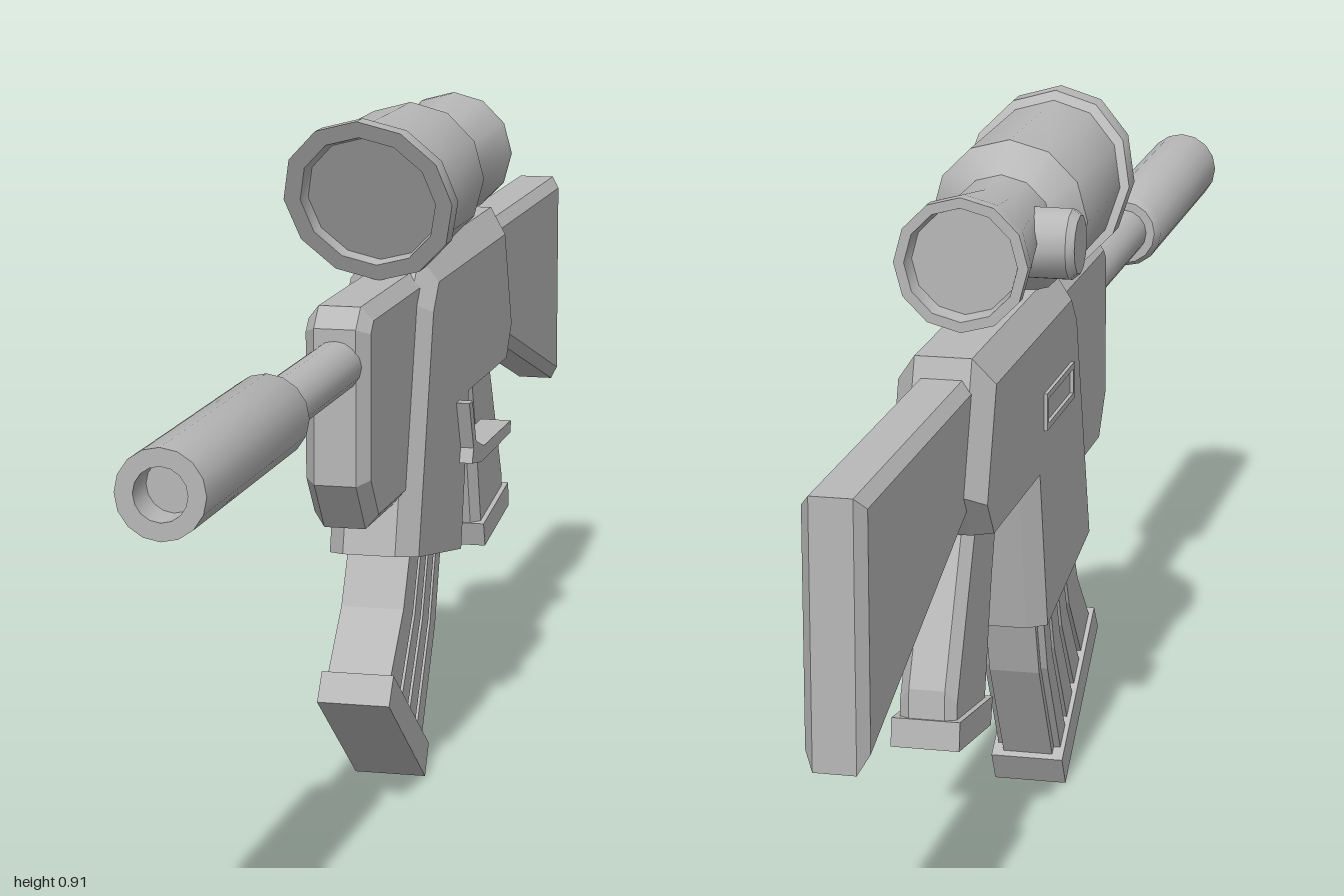
import * as THREE from 'three';
import { toCreasedNormals } from 'three/addons/utils/BufferGeometryUtils.js';

const grey = new THREE.MeshStandardMaterial({ color: 0xb8b8b8 });
grey.name = 'plain grey';

// Move every edge of a (z, y) outline inwards by its own distance
function insetOutline(pts, insets) {
  const n = pts.length;
  const normal = (i) => {
    const a = pts[i], b = pts[(i + 1) % n];
    const l = Math.hypot(b[0] - a[0], b[1] - a[1]);
    // outlines run clockwise in (-z, y), so inwards is on this side
    return [-(b[1] - a[1]) / l, (b[0] - a[0]) / l];
  };
  return pts.map((p, i) => {
    const j = (i + n - 1) % n, u = normal(j), v = normal(i);
    const a = insets[j], b = insets[i], det = u[0] * v[1] - u[1] * v[0];
    return [p[0] + (a * v[1] - b * u[1]) / det, p[1] + (u[0] * b - v[0] * a) / det];
  });
}

// Flat-sided slab: (z, y) outline across x, with its rim bevelled to both faces
function slab(outline, { edge, face, inset = 0, x = 0 }) {
  let pts = outline;
  const n = pts.length;
  let insets = Array.isArray(inset) ? inset : pts.map(() => inset);
  if (THREE.ShapeUtils.area(pts.map((p) => new THREE.Vector2(...p))) < 0) {
    pts = pts.slice().reverse();
    insets = insets.map((_, i) => insets[(2 * n - 2 - i) % n]);
  }
  const inner = insets.some((d) => d > 0) ? insetOutline(pts, insets) : pts;
  const rings = [[-face, inner], [-edge, pts], [edge, pts], [face, inner]];
  const pos = [], idx = [];
  for (const [w, ring] of rings) for (const [z, y] of ring) pos.push(x + w, y, z);
  for (let k = 0; k < 3; k++) {
    for (let i = 0; i < n; i++) {
      const j = (i + 1) % n, a = k * n + i, b = k * n + j;
      idx.push(a, a + n, b + n, a, b + n, b);
    }
  }
  const tris = THREE.ShapeUtils.triangulateShape(inner.map((p) => new THREE.Vector2(...p)), []);
  for (const [a, b, c] of tris) idx.push(a, b, c, 3 * n + a, 3 * n + c, 3 * n + b);
  const g = new THREE.BufferGeometry();
  g.setAttribute('position', new THREE.Float32BufferAttribute(pos, 3));
  g.setIndex(idx);
  const flat = g.toNonIndexed();
  flat.computeVertexNormals();
  return flat;
}

// Turned part along z from (radius, z) points, back to front
function turned(profile, sides, y) {
  const g = new THREE.LatheGeometry(profile.map((p) => new THREE.Vector2(...p)), sides);
  return g.rotateX(Math.PI / 2).translate(0, y, 0);
}
const crease = (g) => toCreasedNormals(g, 0.6);

export function createModel() {
  const model = new THREE.Group();
  const add = (name, geometry, parent = model) => {
    const mesh = new THREE.Mesh(geometry, grey);
    mesh.name = name;
    parent.add(mesh);
    return mesh;
  };

  // Body
  add('receiver', slab(
    [[-0.06, 0.705], [-0.505, 0.705], [-0.56, 0.55], [-0.515, 0.49], [-0.265, 0.49],
      [-0.22, 0.275], [0.075, 0.33], [-0.01, 0.65]],
    { edge: 0.035, face: 0.06, inset: [0.035, 0.03, 0.012, 0, 0.012, 0, 0.03, 0.03] }));
  add('handguard', slab(
    [[0.225, 0.685], [-0.05, 0.685], [0.03, 0.395], [0.2, 0.395], [0.25, 0.46], [0.25, 0.66]],
    { edge: 0.027, face: 0.042, inset: [0.018, 0, 0.018, 0.018, 0.018, 0.018] }));
  add('stock', slab(
    [[-0.5, 0.68], [-1, 0.68], [-1, 0.365], [-0.52, 0.52]],
    { edge: 0.025, face: 0.037, inset: [0.015, 0.015, 0.015, 0] }));

  // Grip with its flared foot
  add('grip', slab(
    [[-0.36, 0.5], [-0.505, 0.5], [-0.595, 0.32], [-0.6, 0.27], [-0.44, 0.25], [-0.415, 0.345]],
    { edge: 0.022, face: 0.035, inset: [0, 0.015, 0.01, 0, 0.01, 0.015] }));
  add('gripFoot', slab(
    [[-0.435, 0.26], [-0.602, 0.285], [-0.607, 0.25], [-0.445, 0.226]], { edge: 0.03, face: 0.042 }));

  // Curved magazine: a core with raised ribs running along it
  const front = [[0.0, 0.36], [0.055, 0.255], [0.138, 0.17]];
  const back = [[-0.175, 0.3], [-0.14, 0.185], [-0.06, 0.04]];
  const across = (row, u) => front[row].map((v, k) => v + (back[row][k] - v) * u);
  const strip = (u, v) => [0, 1, 2].map((r) => across(r, u)).concat([2, 1, 0].map((r) => across(r, v)));
  const magazine = new THREE.Group();
  magazine.name = 'magazine';
  model.add(magazine);
  add('magazineCore', slab(strip(0.02, 0.99), { edge: 0.028, face: 0.033 }), magazine);
  for (const [u, v] of [[0, 0.27], [0.33, 0.5], [0.56, 0.73], [0.79, 0.94]]) {
    add('magazineRib', slab(strip(u, v), { edge: 0.036, face: 0.042 }), magazine);
  }
  add('magazineBase', slab(
    [[0.135, 0.187], [-0.067, 0.04], [-0.045, 0], [0.16, 0.152]], { edge: 0.04, face: 0.048 }), magazine);

  // Trigger and the guard beside it
  add('trigger', slab([[-0.295, 0.5], [-0.325, 0.5], [-0.307, 0.42]], { edge: 0.01, face: 0.012 }));
  add('triggerGuard', slab(
    [[-0.175, 0.487], [-0.195, 0.487], [-0.22, 0.426], [-0.27, 0.41], [-0.447, 0.41],
      [-0.447, 0.393], [-0.255, 0.39], [-0.195, 0.4], [-0.203, 0.42]],
    { edge: 0.02, face: 0.023, x: 0.055 }));

  // Raised frame of the ejection port
  const rect = (h, w, C) => {
    const s = new C();
    s.moveTo(-w, -h); s.lineTo(w, -h); s.lineTo(w, h); s.lineTo(-w, h); s.closePath();
    return s;
  };
  const frame = rect(0.024, 0.08, THREE.Shape);
  frame.holes.push(rect(0.016, 0.072, THREE.Path));
  add('ejectionPortFrame', new THREE.ExtrudeGeometry(frame, { depth: 0.005, bevelEnabled: false })
    .rotateY(-Math.PI / 2).translate(-0.0595, 0.565, -0.15));

  // Barrel and its thick sleeve
  add('barrel', crease(turned([[0.033, 0.22], [0.033, 0.58]], 16, 0.612)));
  add('barrelSleeve', crease(turned(
    [[0, 0.555], [0.045, 0.555], [0.052, 0.57], [0.052, 1], [0.031, 1], [0.031, 0.95], [0, 0.95]], 16, 0.612)));

  // Scope, its front sheared so the rim leans forward at the top
  const scope = turned(
    [[0, -0.395], [0.066, -0.395], [0.07, -0.418], [0.083, -0.418], [0.083, -0.4], [0.065, -0.29],
      [0.065, -0.205], [0.1, -0.16], [0.1, 0.04], [0.111, 0.045], [0.111, 0.08], [0.089, 0.08],
      [0.085, 0.055], [0, 0.055]], 12, 0);
  const p = scope.attributes.position;
  for (let i = 0; i < p.count; i++) {
    if (p.getZ(i) > 0) p.setZ(i, p.getZ(i) + 0.54 * p.getY(i));
  }
  add('scope', crease(scope.translate(0, 0.795, 0)));

  // Adjusting knob on the scope's right
  const knob = new THREE.LatheGeometry(
    [[0.045, -0.06], [0.045, 0.04], [0.037, 0.05], [0, 0.05]].map((q) => new THREE.Vector2(...q)), 12);
  add('scopeKnob', crease(knob.rotateZ(Math.PI / 2).translate(-0.06, 0.787, -0.248)));

  return model;
}
